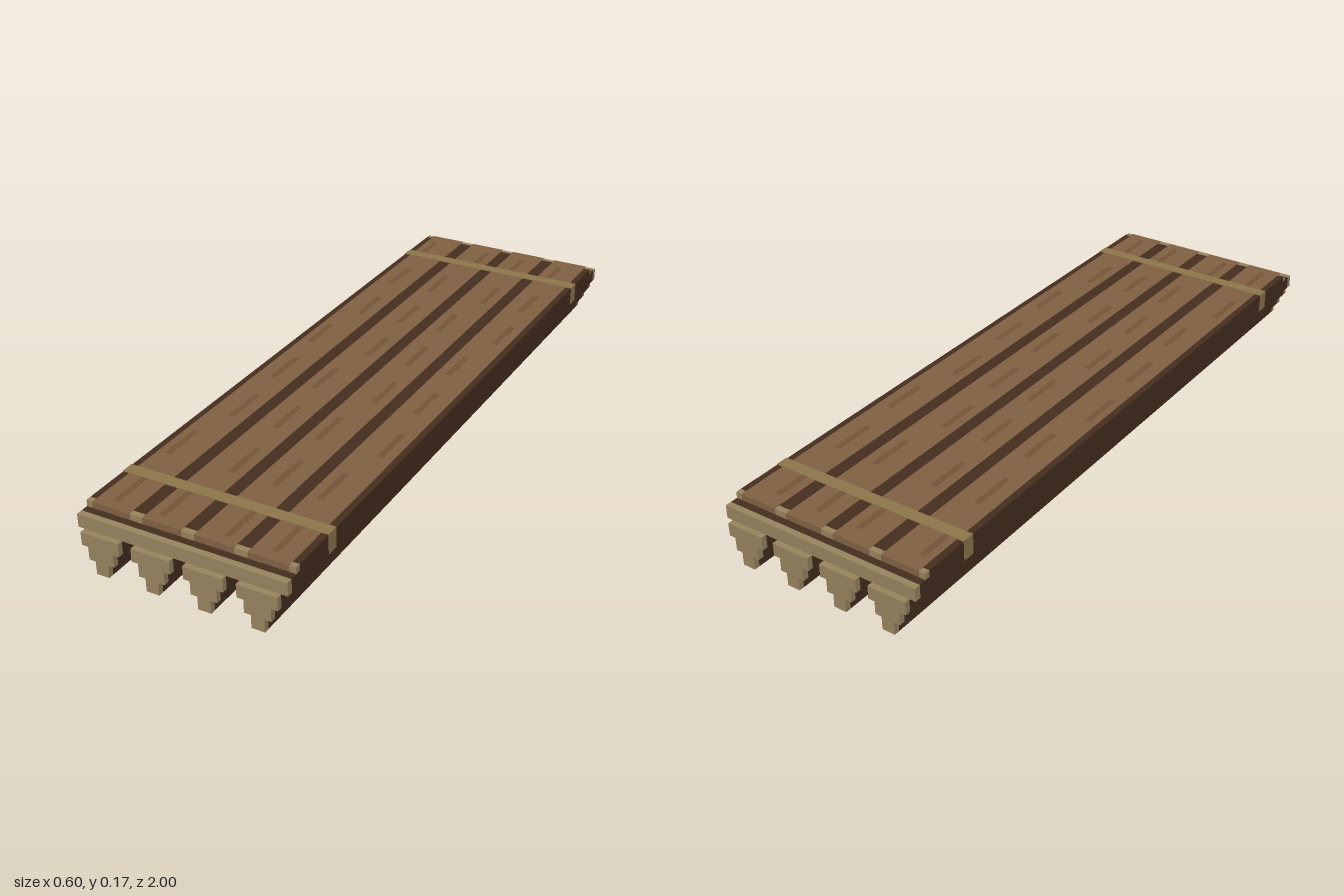
import * as THREE from 'three';

const paint = (color) => new THREE.MeshStandardMaterial({ color, flatShading: true });

export function createModel() {
  const model = new THREE.Group();
  const dark = paint(0x452e1f), plankBrown = paint(0x826344), grainBrown = paint(0x755639);
  const tan = paint(0x9a8660), strapTan = paint(0x8f774c);

  // Box given by its centre x, y range and z range
  function box(name, mat, x, width, y0, y1, z0, z1) {
    const mesh = new THREE.Mesh(new THREE.BoxGeometry(width, y1 - y0, z1 - z0), mat);
    mesh.position.set(x, (y0 + y1) / 2, (z0 + z1) / 2);
    mesh.name = name;
    model.add(mesh);
  }

  // Dark beam with a pale cut face at each end
  function beam(name, x, width, y0, y1, end, cap) {
    box(name, dark, x, width, y0, y1, cap - end, end - cap);
    box(name + 'FrontCap', tan, x, width, y0, y1, end - cap, end);
    box(name + 'BackCap', tan, x, width, y0, y1, -end, cap - end);
  }

  const step = 0.0372, pitch = 0.1486, deck = 3 * step;
  const centres = [-1.5, -0.5, 0.5, 1.5].map((i) => i * pitch);

  // Deck slab and the dark bed between the planks
  beam('deckSlab', 0, 0.594, deck, 0.149, 0.984, 0.018);
  beam('plankBed', 0, 0.594, 0.149, 0.167, 0.945, 0.016);

  centres.forEach((x, i) => {
    // Stepped rib, narrowing downward
    for (let t = 0; t < 3; t++) {
      beam('ribTier', x, step * (t + 1), t * step, (t + 1) * step, 1, 0.016);
    }
    // Top plank
    box('plank', plankBrown, x, 0.111, 0.15, 0.168, -0.946, 0.946);
    // Short grain marks, staggered sideways along the plank
    for (let r = 0; r < 8; r++) {
      const shift = ((r + i * 2) % 3 - 1) * 0.019 - 0.007 + (i === 0 ? 0 : 0.006);
      const z = -0.83 + r * 0.24;
      box('grainMark', grainBrown, x + shift, 0.017, 0.16, 0.1684, z - 0.065, z + 0.065);
    }
  });

  // Straps wrapped over the deck near both ends
  for (const z of [-0.78, 0.78]) {
    box('strap', strapTan, 0, 0.596, deck, 0.169, z - 0.018, z + 0.018);
  }
  return model;
}
